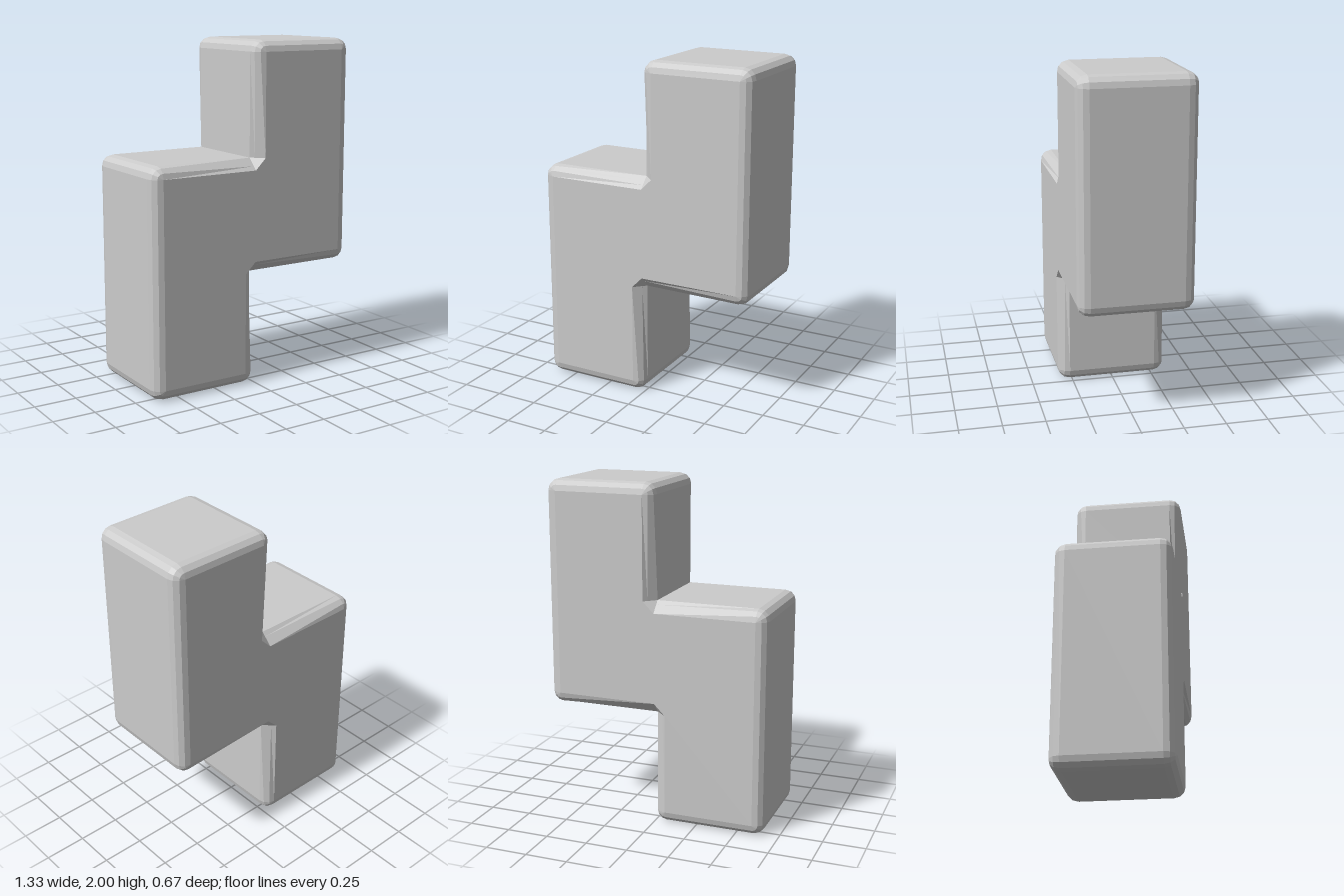
import * as THREE from 'three';

const W = 0.6667;          // block size
const H = W / 2;           // half depth
const R = 0.066;           // bevel radius
const SEG = 3;             // bevel segments

// Stepped outline, counter-clockwise seen from the front
const outline = [
  [-W, 0], [0, 0], [0, W], [W, W], [W, 2], [0, 2], [0, 2 * W], [-W, 2 * W],
].map(([x, y]) => new THREE.Vector2(x, y));

// One cross-section ring; side is -1 (back) or 1 (front), k runs 0 (side wall) to SEG (face)
function ring(side, k) {
  const pts = [];
  const n = outline.length;
  const phi = (k / SEG) * Math.PI / 2;
  outline.forEach((p, i) => {
    const d1 = p.clone().sub(outline[(i + n - 1) % n]).normalize();
    const d2 = outline[(i + 1) % n].clone().sub(p).normalize();
    const n1 = new THREE.Vector2(d1.y, -d1.x);
    const n2 = new THREE.Vector2(d2.y, -d2.x);
    if (d1.cross(d2) > 0) {
      // Outer corner: rounded like part of a ball
      const c = p.clone().addScaledVector(n1, -R).addScaledVector(n2, -R);
      const r = R * Math.cos(phi);
      const z = side * (H - R + R * Math.sin(phi));
      for (let s = 0; s <= SEG; s++) {
        const a = n1.angle() + (s / SEG) * Math.PI / 2;
        pts.push(new THREE.Vector3(c.x + r * Math.cos(a), c.y + r * Math.sin(a), z));
      }
    } else {
      // Inner corner: straight chamfer opening into two points
      const d = R * k / SEG;
      const z = side * (H - R + d);
      for (const m of [n1, n2]) pts.push(new THREE.Vector3(p.x - m.x * d, p.y - m.y * d, z));
    }
  });
  return pts;
}

function blockGeometry() {
  const rings = [];
  for (let k = SEG; k >= 0; k--) rings.push(ring(-1, k));
  for (let k = 0; k <= SEG; k++) rings.push(ring(1, k));
  const pos = [];
  const tri = (a, b, c) => {
    const area = b.clone().sub(a).cross(c.clone().sub(a)).length();
    if (area > 1e-7) for (const v of [a, b, c]) pos.push(v.x, v.y, v.z);
  };

  // Side walls and bevels
  for (let k = 0; k < rings.length - 1; k++) {
    const lo = rings[k], hi = rings[k + 1];
    lo.forEach((a, j) => {
      const m = (j + 1) % lo.length;
      tri(a, lo[m], hi[m]);
      tri(a, hi[m], hi[j]);
    });
  }

  // Front and back faces
  for (const side of [-1, 1]) {
    const all = rings[side < 0 ? 0 : rings.length - 1];
    const face = all.filter((p, i) => p.distanceTo(all[(i + 1) % all.length]) > 1e-5);
    const flat = face.map((p) => new THREE.Vector2(p.x, p.y));
    for (const [a, b, c] of THREE.ShapeUtils.triangulateShape(flat, [])) {
      if (side > 0) tri(face[a], face[b], face[c]);
      else tri(face[a], face[c], face[b]);
    }
  }

  const geo = new THREE.BufferGeometry();
  geo.setAttribute('position', new THREE.Float32BufferAttribute(pos, 3));
  geo.computeVertexNormals();
  return geo;
}

export function createModel() {
  const group = new THREE.Group();
  group.name = 'steppedBlock';
  const material = new THREE.MeshStandardMaterial({ color: 0xcccccc, flatShading: true });
  const block = new THREE.Mesh(blockGeometry(), material);
  block.name = 'beveledBlock';
  group.add(block);
  return group;
}
